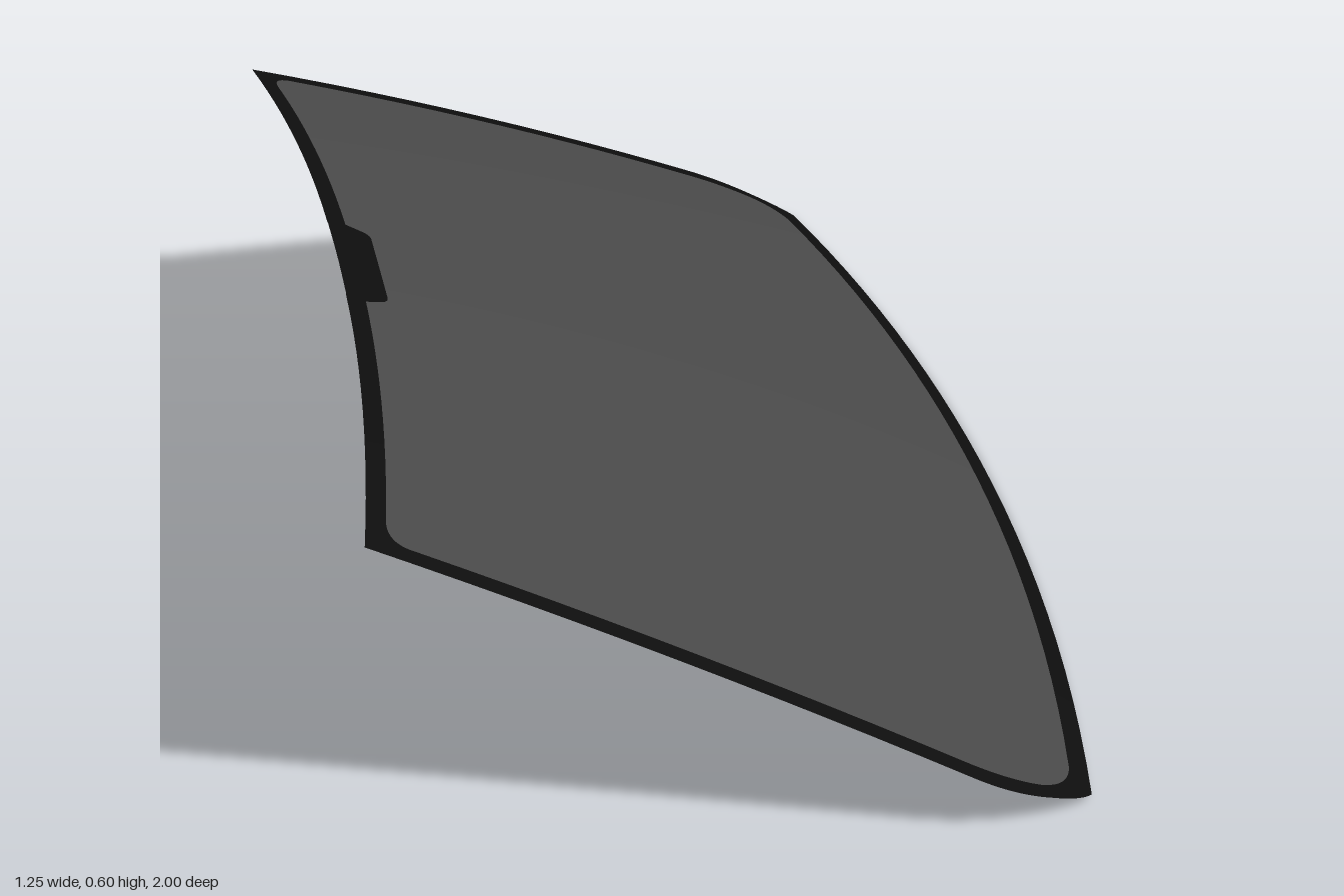
import * as THREE from 'three';

// Height of the curved pane over the ground plane, and its slope
const height = (x, z) => 0.343 - 0.507 * x - 0.0726 * x * x - (0.08 - 0.03 * x) * z * z;
const normal = (x, z) =>
  new THREE.Vector3(0.507 + 0.1452 * x - 0.03 * z * z, 1, 2 * (0.08 - 0.03 * x) * z).normalize();

// Half outlines as [x, z] chains: end point, then (control, end) for each curve
const outerHalf = [
  [-0.563, 0],
  [-0.563, 0.05], [-0.564, 0.1],
  [-0.564, 0.11], [-0.564, 0.118],
  [-0.565, 0.124], [-0.565, 0.13],
  [-0.57, 0.45], [-0.627, 0.787],   // upper edge
  [-0.627, 0.787], [-0.627, 0.787], // sharp upper corner
  [-0.17, 0.895], [0.28, 0.992],    // side
  [0.35, 1.008], [0.42, 0.988],     // rounded lower corner
  [0.48, 0.973], [0.505, 0.95],
  [0.62, 0.475], [0.62, 0],         // lower edge
];
const innerHalf = [
  [-0.493, 0],
  [-0.493, 0.05], [-0.493, 0.1],    // mirror mount tab
  [-0.494, 0.112], [-0.503, 0.117],
  [-0.518, 0.124], [-0.533, 0.13],
  [-0.54, 0.43], [-0.585, 0.715],
  [-0.594, 0.768], [-0.55, 0.775],
  [-0.14, 0.87], [0.28, 0.96],
  [0.35, 0.975], [0.41, 0.964],
  [0.465, 0.95], [0.482, 0.9],
  [0.589, 0.45], [0.589, 0],
];

// Sample a half outline and mirror it into a closed loop
function closedLoop(half, steps = 12) {
  const p = half.map(([x, z]) => new THREE.Vector2(x, z));
  const points = [];
  for (let i = 0; i + 2 < p.length; i += 2) {
    const curve = new THREE.QuadraticBezierCurve(p[i], p[i + 1], p[i + 2]);
    for (let k = 0; k < steps; k++) points.push(curve.getPoint(k / steps));
  }
  const mirrored = points.slice(1).reverse().map((q) => new THREE.Vector2(q.x, -q.y));
  return [...points, p[p.length - 1], ...mirrored];
}

// Join nested loops, from outside to inside, laid onto the curved pane
function surface(name, loops, color) {
  const positions = [], normals = [], index = [];
  const n = loops[0].length;
  for (const loop of loops) {
    for (const { x, y: z } of loop) {
      positions.push(x, height(x, z), z);
      normals.push(...normal(x, z).toArray());
    }
  }
  for (let r = 0; r + 1 < loops.length; r++) {
    for (let i = 0; i < n; i++) {
      const a = r * n + i, b = r * n + (i + 1) % n;
      index.push(a, b, b + n, a, b + n, a + n);
    }
  }
  const geometry = new THREE.BufferGeometry();
  geometry.setAttribute('position', new THREE.Float32BufferAttribute(positions, 3));
  geometry.setAttribute('normal', new THREE.Float32BufferAttribute(normals, 3));
  geometry.setIndex(index);
  const material = new THREE.MeshStandardMaterial({ color, side: THREE.DoubleSide });
  const mesh = new THREE.Mesh(geometry, material);
  mesh.name = name;
  return mesh;
}

export function createModel() {
  const group = new THREE.Group();
  group.name = 'windshield';
  const outer = closedLoop(outerHalf);
  const inner = closedLoop(innerHalf);

  // Black border with the mirror mount tab
  group.add(surface('border', [outer, inner], 0x0d0d0d));

  // Tinted glass, as rings shrinking to the middle
  const rings = [];
  for (let k = 10; k >= 0; k--) rings.push(inner.map((q) => q.clone().multiplyScalar(k / 10)));
  group.add(surface('glass', rings, 0x484848));
  return group;
}
